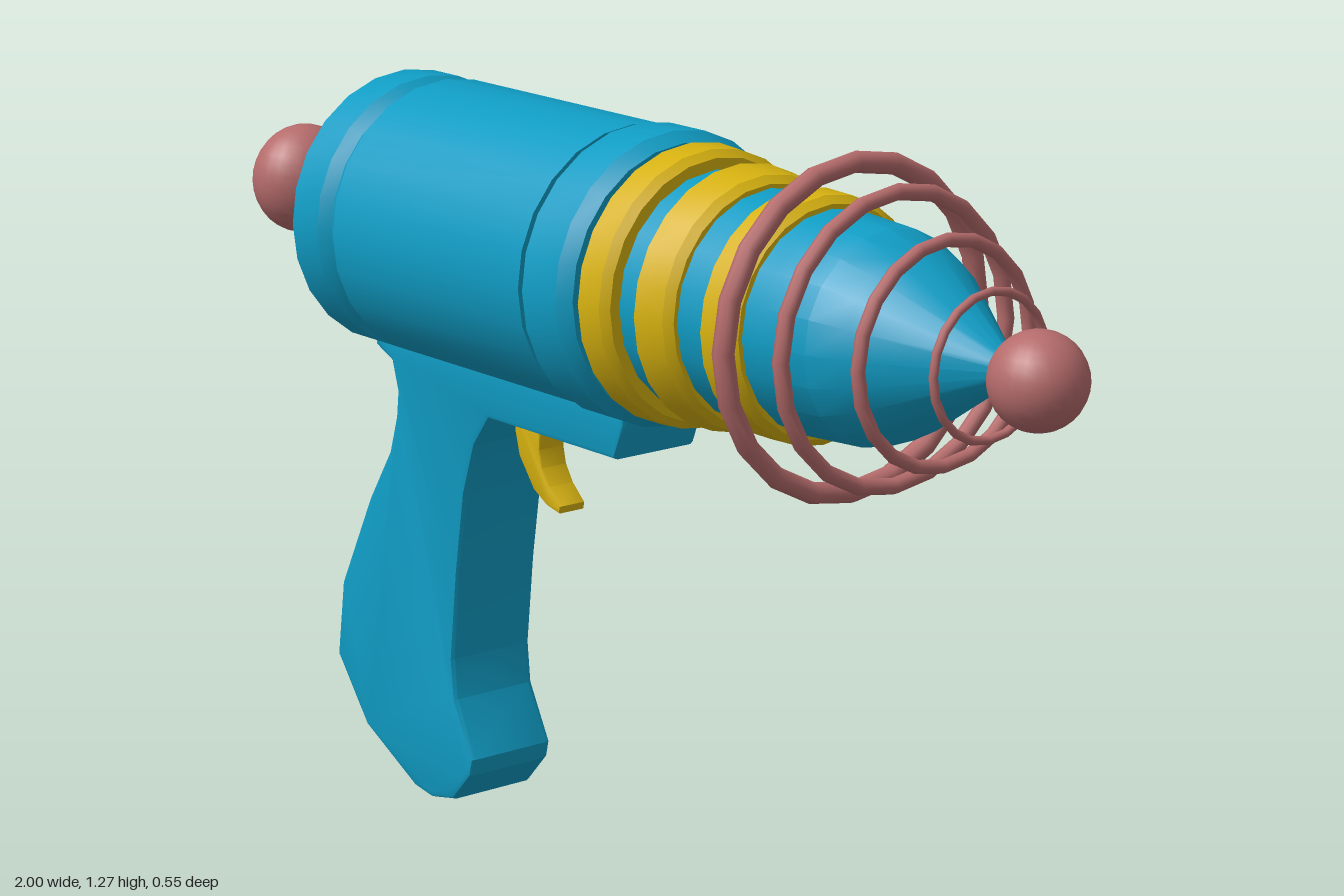
import * as THREE from 'three';
import { toCreasedNormals } from 'three/addons/utils/BufferGeometryUtils.js';

const AXIS_Y = 1.005;
const blue = new THREE.MeshStandardMaterial({ color: 0x109cc4 });
const yellow = new THREE.MeshStandardMaterial({ color: 0xd6b110 });
const pink = new THREE.MeshStandardMaterial({ color: 0xb56b6b });

export function createModel() {
  const group = new THREE.Group();

  const add = (name, geometry, material, x = 0, y = 0, z = 0) => {
    const mesh = new THREE.Mesh(geometry, material);
    mesh.name = name;
    mesh.position.set(x, y, z);
    group.add(mesh);
    return mesh;
  };

  // Turned part along the barrel axis; profile is [x, radius] from back to front
  const turned = (name, profile, material, sides = 24) => {
    const points = profile.map(([x, r]) => new THREE.Vector2(r, x));
    const geometry = new THREE.LatheGeometry(points, sides).rotateZ(-Math.PI / 2);
    return add(name, toCreasedNormals(geometry, 0.4), material, 0, AXIS_Y);
  };

  // Side outline extruded across z, with the bevel kept inside the outline
  const slab = (name, outline, width, bevel, material, z = 0) => {
    const shape = new THREE.Shape(outline.map(([x, y]) => new THREE.Vector2(x, y)));
    const depth = width - 2 * bevel;
    const geometry = new THREE.ExtrudeGeometry(shape, {
      depth, bevelThickness: bevel, bevelSize: bevel, bevelOffset: -bevel, bevelSegments: 2,
    }).translate(0, 0, -depth / 2);
    return add(name, toCreasedNormals(geometry, 0.4), material, 0, 0, z);
  };

  // Stepped rear cap
  turned('rearCap', [
    [-0.87, 0], [-0.87, 0.05], [-0.825, 0.05], [-0.82, 0.04], [-0.785, 0.04],
    [-0.78, 0.06], [-0.76, 0.105], [-0.75, 0.108], [-0.748, 0.125], [-0.72, 0.13],
    [-0.715, 0.138], [-0.69, 0.15], [-0.63, 0.155], [-0.63, 0],
  ], blue);

  // Main chamber with grooves and front collar
  turned('chamber', [
    [-0.64, 0], [-0.64, 0.215], [-0.62, 0.234], [-0.55, 0.234], [-0.53, 0.218],
    [-0.505, 0.234], [-0.005, 0.234], [-0.005, 0.222], [0.01, 0.222], [0.012, 0.239],
    [0.095, 0.239], [0.118, 0.222], [0.118, 0],
  ], blue);

  // Tapering barrel and nose cone
  turned('barrel', [
    [0.1, 0], [0.1, 0.2], [0.24, 0.19], [0.38, 0.181], [0.5, 0.174],
    [0.6, 0.168], [0.66, 0.145], [0.85, 0.026], [0.89, 0.02], [0.89, 0],
  ], blue, 20);

  // Yellow barrel bands: back x, front x, back radius, front radius
  [[0.123, 0.197, 0.226, 0.223], [0.243, 0.326, 0.212, 0.203], [0.383, 0.468, 0.197, 0.195]]
    .forEach(([a, b, ra, rb], i) => turned('barrelBand' + (i + 1), [
      [a, 0.15], [a, ra - 0.012], [a + 0.013, ra], [b - 0.013, rb], [b, rb - 0.012], [b, 0.15],
    ], yellow, 24));

  // Floating rings: x, outer radius, tube radius
  [[0.52, 0.273, 0.017], [0.615, 0.239, 0.013], [0.724, 0.183, 0.011], [0.82, 0.119, 0.007]]
    .forEach(([x, r, t], i) => add('coilRing' + (i + 1),
      new THREE.TorusGeometry(r - t, t, 8, 20).rotateY(Math.PI / 2), pink, x, AXIS_Y));

  // End balls
  add('muzzleBall', new THREE.SphereGeometry(0.076, 24, 16), pink, 0.922, AXIS_Y - 0.002);
  add('rearBall', new THREE.SphereGeometry(1, 24, 16).scale(0.078, 0.095, 0.095),
    pink, -0.922, AXIS_Y);

  // Grip and the mount under the chamber
  slab('grip', [
    [-0.6, 0.82], [-0.6, 0.78], [-0.555, 0.76], [-0.54, 0.71], [-0.545, 0.665], [-0.565, 0.6],
    [-0.625, 0.505], [-0.71, 0.335], [-0.728, 0.2], [-0.645, 0.09], [-0.505, 0.015],
    [-0.457, 0.007], [-0.395, 0.02], [-0.345, 0.075], [-0.338, 0.105], [-0.388, 0.2],
    [-0.395, 0.27], [-0.378, 0.425], [-0.355, 0.57], [-0.325, 0.66], [-0.285, 0.713],
    [0.045, 0.713], [0.07, 0.775], [0.07, 0.82],
  ], 0.17, 0.01, blue);

  // Curved trigger
  slab('trigger', [
    [-0.27, 0.73], [-0.269, 0.69], [-0.258, 0.65], [-0.22, 0.6], [-0.185, 0.58], [-0.152, 0.573],
    [-0.15, 0.585], [-0.18, 0.612], [-0.198, 0.64], [-0.205, 0.67], [-0.2, 0.73],
  ], 0.053, 0.003, yellow, 0.014);

  return group;
}
